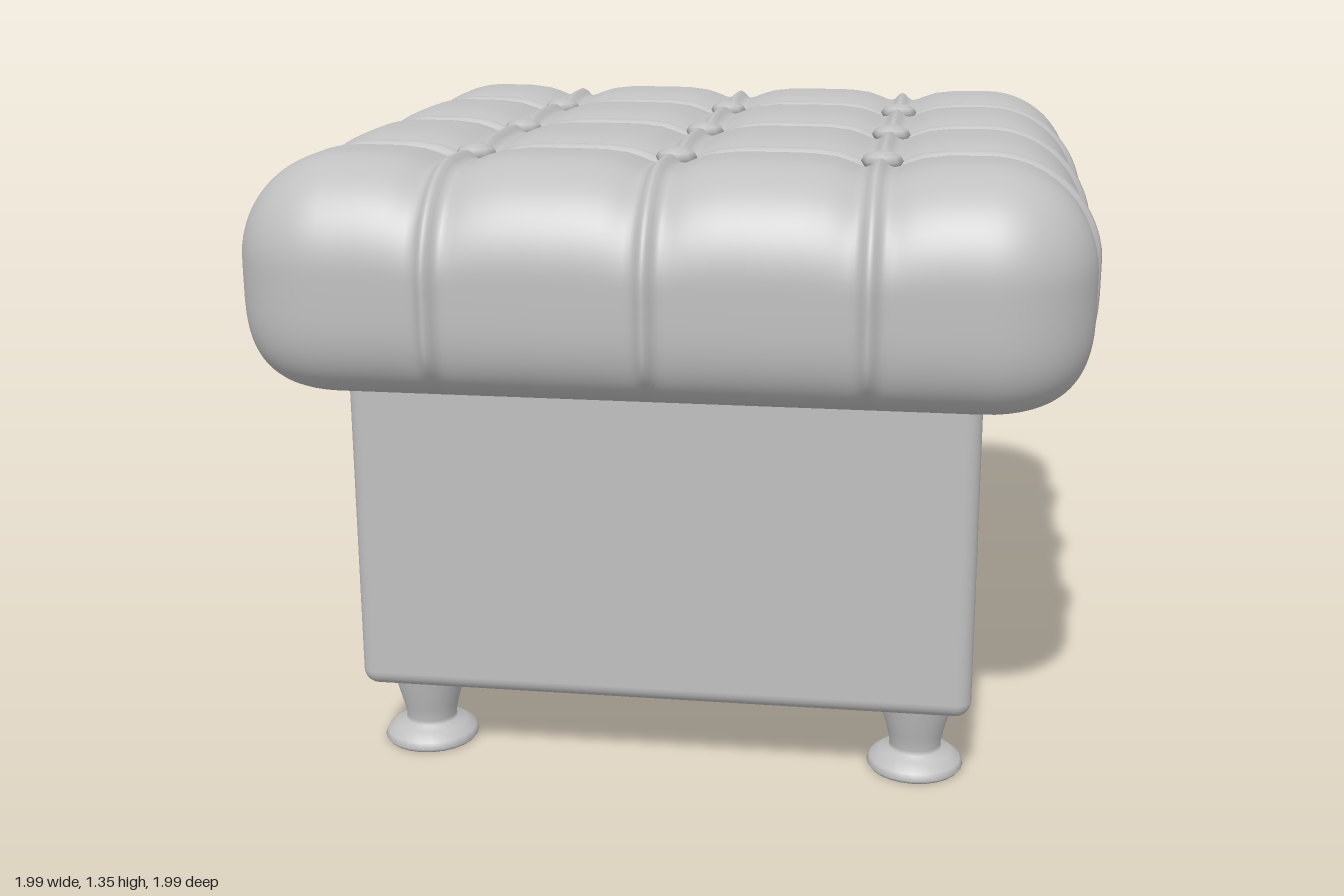
import * as THREE from 'three';
import { mergeVertices } from 'three/addons/utils/BufferGeometryUtils.js';
import { RoundedBoxGeometry } from 'three/addons/geometries/RoundedBoxGeometry.js';

const HALF = 0.885, HALF_H = 0.25, RADIUS = 0.22, MID_Y = 1.1;
const SEAMS = [-0.44, 0, 0.44];

// Grid lines across the cushion, dense around each seam and at the rounded rim
function gridLines() {
  const offsets = [0, 0.007, 0.014, 0.021, 0.03, 0.042, 0.06, 0.09, 0.14, 0.2];
  const set = new Set();
  for (const s of SEAMS) {
    for (const o of offsets) {
      set.add((s + o).toFixed(3));
      set.add((s - o).toFixed(3));
    }
  }
  for (let i = 0; i <= 10; i++) {
    const v = HALF - RADIUS + (RADIUS * i) / 10;
    set.add(v.toFixed(3));
    set.add((-v).toFixed(3));
  }
  return [...set].map(Number).sort((a, b) => a - b);
}

const bell = (d, w) => Math.exp(-((d / w) ** 2));
const seamBell = (v, w) => Math.max(...SEAMS.map((s) => bell(v - s, w)));

// Rounded block pressed in along the seams, with a thin raised welt in each
function cushionGeometry() {
  const lines = gridLines(), n = lines.length - 1;
  const box = new THREE.BoxGeometry(2, 2 * HALF_H, 2, n, 24, n);
  const pos = box.attributes.position;
  const p = new THREE.Vector3(), q = new THREE.Vector3(), d = new THREE.Vector3();
  const inner = new THREE.Vector3(HALF - RADIUS, HALF_H - RADIUS, HALF - RADIUS);
  const low = inner.clone().negate();
  const remap = (v) => lines[Math.round(((v + 1) / 2) * n)];

  for (let i = 0; i < pos.count; i++) {
    p.fromBufferAttribute(pos, i);
    p.set(remap(p.x), p.y, remap(p.z));
    q.copy(p).clamp(low, inner);
    d.copy(p).sub(q).normalize();
    const up = Math.max(d.y, 0);
    const fade = THREE.MathUtils.smoothstep(d.y, -0.85, -0.2);
    const groove = (0.004 + 0.03 * up) * (seamBell(p.x, 0.07) + seamBell(p.z, 0.07));
    const welt = 0.026 * Math.max(seamBell(p.x, 0.018), seamBell(p.z, 0.018));
    const push = RADIUS + fade * (welt - groove);

    // Squarer curve along the lower rim
    if (d.y < 0) {
      const h = Math.hypot(d.x, d.z), e = 0.7;
      const k = h > 1e-6 ? h ** (e - 1) : 0;
      d.set(d.x * k, -(Math.abs(d.y) ** e), d.z * k);
    }
    p.copy(q).addScaledVector(d, push);
    pos.setXYZ(i, p.x, p.y, p.z);
  }
  box.deleteAttribute('normal');
  box.deleteAttribute('uv');
  const geometry = mergeVertices(box, 1e-5);
  geometry.computeVertexNormals();
  return geometry;
}

export function createModel() {
  const model = new THREE.Group();
  model.name = 'tuftedFootstool';
  const stool = new THREE.Group();
  stool.name = 'stool';
  stool.rotation.y = 0.185;
  model.add(stool);

  const upholstery = new THREE.MeshStandardMaterial({ color: 0xc0c0c0 });
  upholstery.name = 'greyUpholstery';

  function add(name, geometry, x, y, z) {
    const mesh = new THREE.Mesh(geometry, upholstery);
    mesh.name = name;
    mesh.position.set(x, y, z);
    stool.add(mesh);
    return mesh;
  }

  add('cushion', cushionGeometry(), 0, MID_Y, 0);
  add('base', new RoundedBoxGeometry(1.336, 0.72, 1.414, 4, 0.035), 0, 0.53, 0.02);

  // Buttons where the seams cross
  const button = new THREE.SphereGeometry(0.045, 8, 6);
  button.scale(1, 0.5, 1);
  for (const x of SEAMS) {
    for (const z of SEAMS) add('button', button, x, 1.318, z + 0.01);
  }

  // Turned legs with a flared foot
  const profile = [
    [0, 0.012], [0.06, 0.012], [0.1, 0], [0.106, 0.008], [0.1, 0.022], [0.078, 0.038],
    [0.058, 0.045], [0.056, 0.055], [0.062, 0.085], [0.085, 0.17], [0.085, 0.2],
  ].map(([r, y]) => new THREE.Vector2(r, y));
  const leg = new THREE.LatheGeometry(profile, 24);
  for (const x of [-0.55, 0.55]) {
    for (const z of [-0.57, 0.57]) add('leg', leg, x, 0, z + 0.02);
  }
  return model;
}
